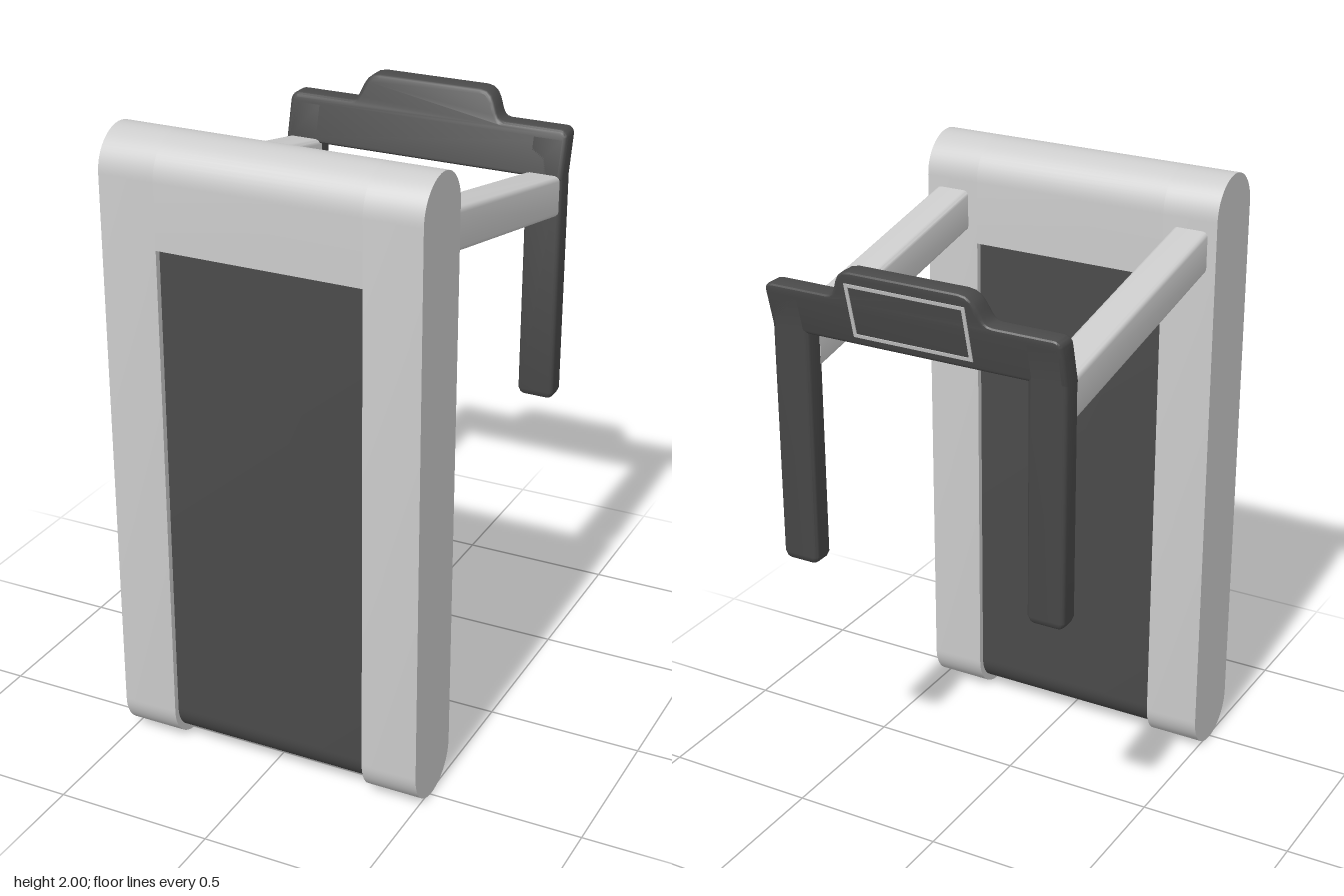
import * as THREE from 'three';
import { toCreasedNormals } from 'three/addons/utils/BufferGeometryUtils.js';

const grey = new THREE.MeshStandardMaterial({ color: 0xcccccc });
const dark = new THREE.MeshStandardMaterial({ color: 0x4a4a4a });

const BEND = 1.68;   // height where the console starts leaning back
const LEAN = 0.26;
const lean = (y) => -Math.max(0, y - BEND) * LEAN;

// Rounded rectangle as a counter-clockwise list of points
function roundedSection(w, h, r, scale = 1) {
  const pts = [];
  for (let c = 0; c < 4; c++) {
    const sx = c === 0 || c === 3 ? 1 : -1, sy = c < 2 ? 1 : -1;
    for (let k = 0; k <= 3; k++) {
      const a = (c + k / 3) * Math.PI / 2;
      pts.push([
        (sx * (w / 2 - r) + r * Math.cos(a)) * scale,
        (sy * (h / 2 - r) + r * Math.sin(a)) * scale,
      ]);
    }
  }
  return pts;
}

// Skin a list of equal-length rings and close both ends
function loft(rings) {
  const n = rings[0].length, index = [];
  for (let r = 0; r < rings.length - 1; r++) {
    for (let i = 0; i < n; i++) {
      const a = r * n + i, b = r * n + (i + 1) % n;
      index.push(a, b, b + n, a, b + n, a + n);
    }
  }
  const last = (rings.length - 1) * n;
  for (let i = 1; i < n - 1; i++) {
    index.push(0, i + 1, i, last, last + i, last + i + 1);
  }
  const geo = new THREE.BufferGeometry();
  geo.setAttribute('position', new THREE.Float32BufferAttribute(rings.flat(2), 3));
  geo.setIndex(index);
  return toCreasedNormals(geo, 0.6);
}

// Side profile with round ends, pushed out along x from x0 to x1
function slab(x0, x1, radius, low, high, flatLow = false) {
  const s = new THREE.Shape();
  const z = -0.49;
  if (flatLow) {
    s.moveTo(z - radius, low);
    s.lineTo(z + radius, low);
  } else {
    s.absarc(z, low + radius, radius, Math.PI, Math.PI * 2, false);
  }
  s.absarc(z, high - radius, radius, 0, Math.PI, false);
  s.closePath();
  const geo = new THREE.ExtrudeGeometry(s, { depth: x1 - x0, bevelEnabled: false, curveSegments: 14 });
  geo.rotateY(Math.PI / 2).translate(x0, 0, 0);
  return toCreasedNormals(geo, 0.5);
}

// Move vertices back in proportion to their height above the bend
function shear(geo) {
  const p = geo.attributes.position;
  for (let i = 0; i < p.count; i++) p.setZ(i, p.getZ(i) + (p.getY(i) - BEND) * -LEAN);
  return geo;
}

export function createModel() {
  const model = new THREE.Group();
  const add = (name, geo, mat) => {
    const mesh = new THREE.Mesh(geo, mat);
    mesh.name = name;
    model.add(mesh);
  };

  // Deck standing on end: two side rails, a motor cover and the belt
  add('leftRail', slab(0.327, 0.507, 0.122, 0, 2), grey);
  add('rightRail', slab(-0.507, -0.327, 0.122, 0, 2), grey);
  add('motorCover', slab(-0.327, 0.327, 0.122, 1.675, 2, true), grey);
  add('runningBelt', slab(-0.327, 0.327, 0.102, 0.022, 1.85), dark);

  for (const [side, sx] of [['left', 1], ['right', -1]]) {
    // Sloping arm between deck and console
    const arm = [[-0.49, 1.613], [0.40, 1.785]].map(([z, y]) =>
      roundedSection(0.117, 0.133, 0.016).map(([a, b]) => [sx * 0.418 + a, y + b, z]));
    add(side + 'Arm', loft(arm), grey);

    // Console leg, bent where it joins the panel
    const leg = [[0.92, 0.8], [0.925, 0.9], [0.94, 1], [BEND, 1], [1.79, 1]].map(([y, k]) =>
      roundedSection(0.075, 0.122, 0.014, k).map(([a, b]) => [sx * 0.422 + b, y, -0.5135 + a + lean(y)]));
    add(side + 'Leg', loft(leg), dark);
  }

  // Console panel with a raised middle
  const bv = 0.013;
  const s = new THREE.Shape();
  const X = 0.483 - bv, low = BEND - 0.012 + bv, top = 1.82 - bv, peak = 1.91 - bv;
  s.moveTo(-X, low);
  s.lineTo(X, low);
  s.lineTo(X, top - 0.015);
  s.quadraticCurveTo(X, top, X - 0.015, top);
  s.lineTo(0.27, top);
  s.bezierCurveTo(0.21, top, 0.235, peak, 0.175, peak);
  s.lineTo(-0.175, peak);
  s.bezierCurveTo(-0.235, peak, -0.21, top, -0.27, top);
  s.lineTo(-X + 0.015, top);
  s.quadraticCurveTo(-X, top, -X, top - 0.015);
  s.closePath();
  const panel = new THREE.ExtrudeGeometry(s, {
    depth: 0.075 - 2 * bv, bevelSize: bv, bevelThickness: bv, bevelSegments: 3, curveSegments: 8,
  });
  panel.translate(0, 0, -0.551 + bv);
  add('consolePanel', toCreasedNormals(shear(panel), 0.6), dark);

  // Thin screen border on the back of the panel
  const rect = (Shape, w, y0, y1) => new Shape([[-w, y0], [w, y0], [w, y1], [-w, y1]]
    .map(([x, y]) => new THREE.Vector2(x, y)));
  const border = rect(THREE.Shape, 0.195, 1.697, 1.872);
  border.holes.push(rect(THREE.Path, 0.184, 1.708, 1.861));
  const frame = new THREE.ExtrudeGeometry(border, { depth: 0.006, bevelEnabled: false });
  frame.translate(0, 0, -0.554);
  add('screenBorder', toCreasedNormals(shear(frame), 0.5), grey);

  return model;
}
